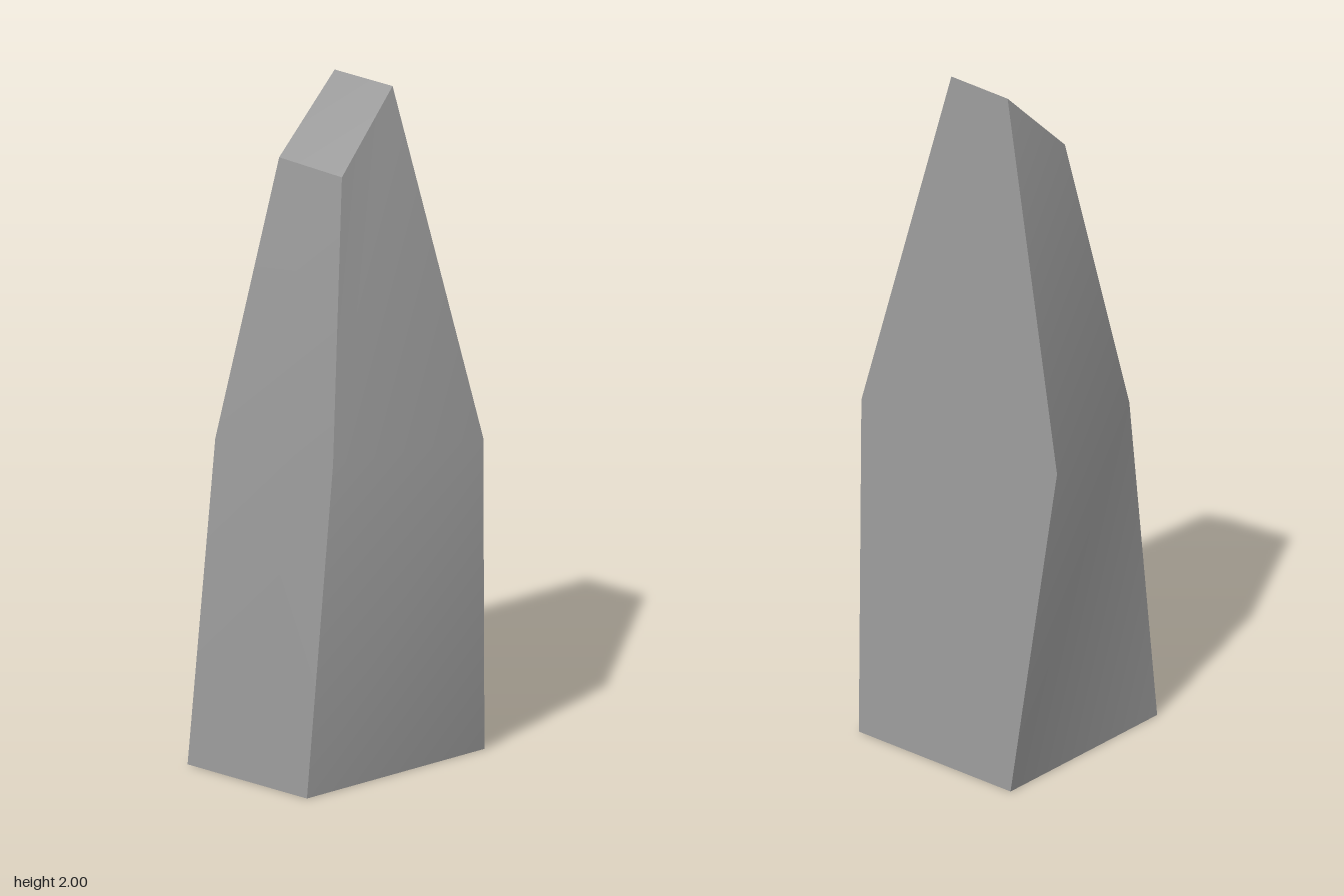
import * as THREE from 'three';
import { toCreasedNormals } from 'three/addons/utils/BufferGeometryUtils.js';

export function createModel() {
  const group = new THREE.Group();
  group.name = 'standingStone';
  const stoneGrey = new THREE.MeshStandardMaterial({ color: 0x999999 });
  stoneGrey.name = 'stone grey';

  // Cross-sections from the ground up; corners: front -x, front +x, back +x, back -x
  const rings = [
    [[-0.21, 0, 0.345], [0.26, 0, 0.345], [0.3, 0, -0.345], [-0.315, 0, -0.345]],
    [[-0.16, 0.97, 0.283], [0.255, 0.97, 0.232], [0.39, 0.97, -0.246], [-0.39, 0.97, -0.233]],
    [[-0.07, 1.79, 0.114], [0.158, 1.775, 0.094], [0.158, 2, -0.115], [-0.07, 2, -0.115]],
  ];

  // Join neighbouring sections with side faces, then close both ends
  const index = [];
  for (let r = 0; r < 2; r++) {
    for (let i = 0; i < 4; i++) {
      const a = r * 4 + i;
      const b = r * 4 + ((i + 1) % 4);
      index.push(a, b, b + 4, a, b + 4, a + 4);
    }
  }
  index.push(0, 2, 1, 0, 3, 2); // underside
  index.push(8, 9, 10, 8, 10, 11); // slanted tip

  const geometry = new THREE.BufferGeometry();
  geometry.setAttribute('position', new THREE.Float32BufferAttribute(rings.flat(2), 3));
  geometry.setIndex(index);

  // Soft shading over gentle bends, sharp main edges
  const stone = new THREE.Mesh(toCreasedNormals(geometry, Math.PI / 6), stoneGrey);
  stone.name = 'stone';
  group.add(stone);
  return group;
}
